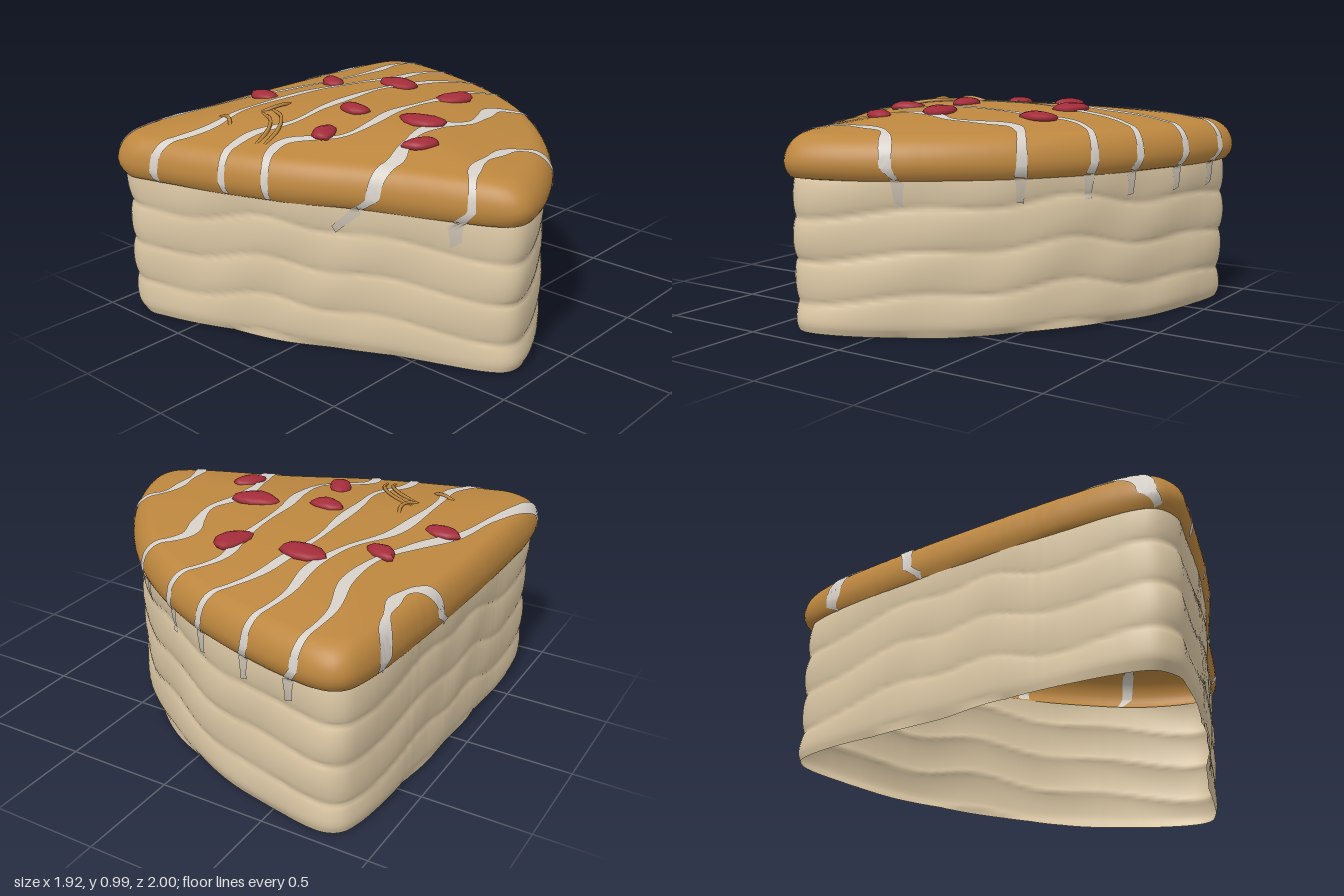
import * as THREE from 'three';

const mat = (name, color, side = THREE.DoubleSide) => {
  const m = new THREE.MeshStandardMaterial({ color, side });
  m.name = name;
  return m;
};

const N = 300;                 // points around the slice
const CX = -0.3, CZ = 0.05;    // middle of the slice
const TAU = Math.PI * 2;

// Plan outline of the slice as a radius for each angle around the middle
const outline = new THREE.CatmullRomCurve3([
  [-0.89, -0.86], [-0.955, 0.1], [-0.94, 0.87], [-0.9, 0.96], [-0.8, 1], [-0.7, 0.98], [-0.1, 0.8], [0.36, 0.59],
  [0.86, 0.4], [0.94, 0.34], [0.955, 0.26], [0.8, -0.1], [0.4, -0.55], [-0.1, -0.84], [-0.76, -1], [-0.85, -0.96],
].map(([x, z]) => new THREE.Vector3(x, 0, z)), true, 'centripetal');
const edge = outline.getPoints(4000).map(p => ({
  a: Math.atan2(p.z - CZ, p.x - CX), r: Math.hypot(p.x - CX, p.z - CZ),
}));
const radii = Array.from({ length: N }, (_, i) => {
  let best = 9, r = 1;
  for (const e of edge) {
    const d = Math.abs(Math.atan2(Math.sin(e.a - i * TAU / N), Math.cos(e.a - i * TAU / N)));
    if (d < best) { best = d; r = e.r; }
  }
  return r;
});
function radius(a) {
  const f = ((a / TAU) % 1 + 1) % 1 * N, i = Math.floor(f) % N;
  return radii[i] + (radii[(i + 1) % N] - radii[i]) * (f - Math.floor(f));
}

// Rippled layers of the side wall, as a scale of the outline
function wallScale(a, y) {
  const t = y / 0.19 + 0.16 * Math.sin(3 * a + 1) + 0.1 * Math.sin(8 * a);
  const foot = Math.max(0, 1 - y / 0.07);
  return 0.947 + 0.018 * Math.sqrt(Math.abs(Math.sin(Math.PI * t)))
    + 0.003 * Math.sin(11 * a + 12 * y) + 0.006 * y - 0.016 * foot * foot;
}

// Surface point: s from 0 to 1 crosses the domed top, above 1 runs down the side
function surface(a, s, lift = 0) {
  let k = s, y;
  if (s <= 0.88) y = 0.955 - 0.065 * (s / 0.88) ** 2;
  else if (s <= 1) y = 0.76 + 0.13 * Math.sqrt(Math.max(0, 1 - ((s - 0.88) / 0.12) ** 2));
  else {
    y = 0.76 - (s - 1) * 0.8;
    k = s <= 1.075 ? 1 - 0.025 * ((s - 1) / 0.075) ** 2 : wallScale(a, y);
  }
  const r = radius(a) * k + lift * Math.min(1, s * s);
  return [CX + r * Math.cos(a), y + (s <= 1 ? lift : 0), CZ + r * Math.sin(a)];
}
function surfaceAt(x, z, lift) {
  const a = Math.atan2(z - CZ, x - CX);
  return surface(a, Math.hypot(x - CX, z - CZ) / radius(a), lift);
}

// Grid of rows x cols points from a rule
function grid(rows, cols, wrap, rule) {
  const pos = [], idx = [];
  for (let j = 0; j < rows; j++) for (let i = 0; i < cols; i++) pos.push(...rule(j, i));
  for (let j = 0; j < rows - 1; j++) for (let i = 0; i < (wrap ? cols : cols - 1); i++) {
    const n = (i + 1) % cols, a = j * cols + i, b = j * cols + n;
    idx.push(a, b, a + cols, b, b + cols, a + cols);
  }
  const g = new THREE.BufferGeometry();
  g.setAttribute('position', new THREE.Float32BufferAttribute(pos, 3));
  g.setIndex(idx);
  g.computeVertexNormals();
  return g;
}

// Plan point on the ray through x, z, slid to s
function slide(x, z, s) {
  const a = Math.atan2(z - CZ, x - CX), r = radius(a) * s;
  return new THREE.Vector3(CX + r * Math.cos(a), 0, CZ + r * Math.sin(a));
}

// Thin ribbon lying on the surface
function ribbon(points, width, lift, steps) {
  const curve = new THREE.CatmullRomCurve3(points, false, 'centripetal');
  return grid(steps + 1, 4, false, (j, i) => {
    const p = curve.getPointAt(j / steps), t = curve.getTangentAt(j / steps);
    const w = width * (1 + 0.3 * Math.sin(j * 0.13 + points.length)) * (i / 3 - 0.5);
    return surfaceAt(p.x + t.z * w, p.z - t.x * w, lift);
  });
}

export function createModel() {
  const model = new THREE.Group();
  const cream = mat('sponge cream', 0xdcc8a5);
  const caramel = mat('caramel glaze', 0xbd873f);
  const white = mat('icing', 0xd6d0c8);
  const pale = mat('thin icing', 0xcabfaf);
  const red = mat('berry red', 0xa32c3a, THREE.FrontSide);
  const add = (name, geo, m, parent = model) => {
    const mesh = new THREE.Mesh(geo, m);
    mesh.name = name;
    parent.add(mesh);
    return mesh;
  };

  // Layered side wall, open underneath
  add('cakeWall', grid(49, N, true, (j, i) => {
    const a = i * TAU / N;
    const y = j === 48 ? 0.006 + 0.006 * Math.sin(5 * a) : 0.7 - 0.68 * j / 48;
    const r = radii[i] * wallScale(a, y);
    return [CX + r * Math.cos(a), y, CZ + r * Math.sin(a)];
  }), cream);

  // Domed glaze with a rounded rim and a tucked lower lip
  const rows = [0.001];
  for (let k = 1; k <= 11; k++) rows.push(0.08 * k);
  for (let k = 1; k <= 14; k++) rows.push(0.88 + 0.12 * Math.sin(k / 14 * Math.PI / 2));
  rows.push(1.025, 1.05, 1.075, 1.08);
  add('glaze', grid(rows.length, N, true, (j, i) => surface(i * TAU / N, rows[j])), caramel);

  // Wavy icing stripes: back z, front z and x at even steps between them
  const stripes = [
    { z0: -0.76, z1: -0.2, xs: [-0.91, -0.84, -0.84, -0.93] },
    { z0: -0.98, z1: 0.95, xs: [-0.61, -0.67, -0.61, -0.62, -0.7, -0.8, -0.84, -0.89, -0.9] },
    { z0: -0.93, z1: 0.95, xs: [-0.36, -0.44, -0.42, -0.47, -0.56, -0.58, -0.58, -0.55, -0.63] },
    { z0: -0.83, z1: 0.85, xs: [-0.08, -0.24, -0.28, -0.31, -0.3, -0.29, -0.27, -0.33, -0.28] },
    { z0: -0.73, z1: 0.8, xs: [0.14, -0.02, 0, 0, 0, 0.03, 0.02, -0.15, -0.08] },
    { z0: -0.54, z1: 0.62, xs: [0.42, 0.26, 0.3, 0.33, 0.27, 0.27, 0.31, 0.37, 0.3] },
    { z0: -0.13, z1: 0.45, xs: [0.77, 0.67, 0.66, 0.68, 0.7] },
  ];
  const icing = new THREE.Group();
  icing.name = 'icing';
  model.add(icing);
  stripes.forEach(({ z0, z1, xs }, n) => {
    const last = xs.length - 1, width = n === 5 ? 0.058 : 0.045;
    const path = xs.map((x, i) => {
      const z = z0 + (z1 - z0) * i / last;
      return i % last ? new THREE.Vector3(x, 0, z) : slide(x, z, 1.07);
    });
    add('icingStripe', ribbon(path, width, 0.005, 160), white, icing);
    add('icingUnderside', ribbon(path, width, -0.006, 160), white, icing);
    // Faint drips on the wall below; one at the front runs sideways
    const drip = (x, z, drift) => add('icingDrip', ribbon([0, 0.5, 1].map(t =>
      slide(x - drift * t, z + drift * 0.4 * t, 1.076 + 0.134 * t)), 0.06, 0.005, 16), pale, icing);
    if (n > 0) drip(xs[0], z0, 0);
    if (n > 4) drip(xs[last], z1, n === 5 ? 0.11 : 0);
  });

  // Dried berries: x, z, half length, turn
  const berries = [
    [-0.32, -0.36, 0.118, -0.1], [0.03, -0.375, 0.11, 1.3], [-0.61, -0.18, 0.082, -0.5], [-0.73, 0.185, 0.088, -0.1],
    [-0.16, 0.145, 0.088, -0.1], [0.18, 0.06, 0.118, 0.15], [0.36, 0.28, 0.085, 1], [-0.07, 0.44, 0.09, -1],
  ];
  berries.forEach(([x, z, size, turn], n) => {
    const g = new THREE.SphereGeometry(1, 12, 8);
    const p = g.attributes.position;
    for (let i = 0; i < p.count; i++) {
      const px = p.getX(i), py = p.getY(i), pz = p.getZ(i);
      const k = 1 + 0.1 * Math.sin(4 * px + n) * Math.cos(3 * pz - n);
      p.setXYZ(i, px * k, py * k, pz * k * (1 + 0.15 * px));
    }
    g.scale(size, 0.028, size * 0.61);
    g.computeVertexNormals();
    const berry = add('berry', g, red);
    berry.position.set(x, surfaceAt(x, z, 0)[1] + 0.004, z);
    berry.rotation.y = turn;
  });

  // Raised glaze threads near the front, each bowed between two ends
  const threads = [[-0.5, 0.36, -0.21, 0.68], [-0.48, 0.43, -0.25, 0.69], [-0.48, 0.25, -0.5, 0.42], [-0.62, 0.57, -0.5, 0.62]];
  for (const [x0, z0, x1, z1] of threads) {
    const curve = new THREE.CatmullRomCurve3([0, 0.33, 0.67, 1].map(t => {
      const bow = 0.16 * Math.sin(Math.PI * t);
      const x = x0 + (x1 - x0) * t + (z1 - z0) * bow, z = z0 + (z1 - z0) * t - (x1 - x0) * bow;
      return new THREE.Vector3(...surfaceAt(x, z, bow > 0.01 ? 0.009 : -0.006));
    }));
    add('glazeThread', new THREE.TubeGeometry(curve, 20, 0.009, 6), caramel);
  }
  return model;
}
